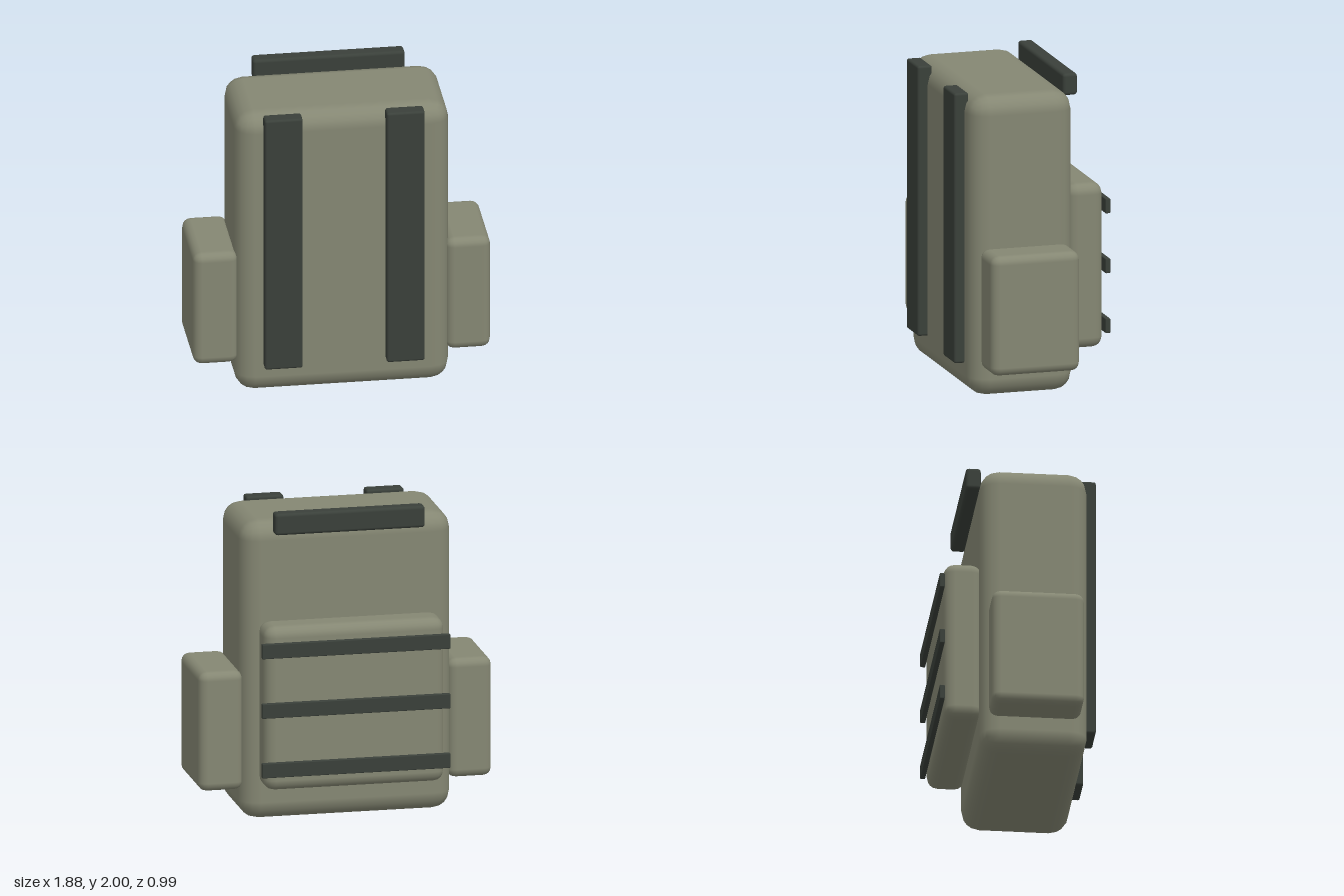
import * as THREE from 'three';
import { RoundedBoxGeometry } from 'three/addons/geometries/RoundedBoxGeometry.js';

const canvas = new THREE.MeshStandardMaterial({ color: 0x85886f });
canvas.name = 'olive canvas';
canvas.color.set(0x858773);
const webbing = new THREE.MeshStandardMaterial({ color: 0x3a403a });
webbing.name = 'dark webbing';

// Rounded box spanning [min, max] on each axis
function block(name, material, [x0, x1], [y0, y1], [z0, z1], radius) {
  const geometry = new RoundedBoxGeometry(x1 - x0, y1 - y0, z1 - z0, 2, radius);
  const mesh = new THREE.Mesh(geometry, material);
  mesh.name = name;
  mesh.position.set((x0 + x1) / 2, (y0 + y1) / 2, (z0 + z1) / 2);
  return mesh;
}

export function createModel() {
  const pack = new THREE.Group();
  pack.name = 'backpack';

  // Main bag and the large pocket on its back
  pack.add(block('mainBag', canvas, [-0.675, 0.675], [0, 1.93], [-0.245, 0.43], 0.12));
  pack.add(block('backPocket', canvas, [-0.577, 0.577], [0.245, 1.305], [-0.465, -0.225], 0.07));

  // Mirrored side pockets and shoulder straps
  for (const side of [1, -1]) {
    const span = (a, b) => [side * a, side * b].sort((p, q) => p - q);
    const label = side > 0 ? 'left' : 'right';
    pack.add(block(label + 'SidePocket', canvas, span(0.655, 0.938), [0.195, 0.965], [-0.2, 0.38], 0.055));
    pack.add(block(label + 'ShoulderStrap', webbing, span(0.265, 0.505), [0.195, 1.93], [0.4, 0.495], 0.015));
  }

  // Carry handle at the top
  pack.add(block('carryHandle', webbing, [-0.48, 0.48], [1.86, 2], [-0.32, -0.225], 0.02));

  // Horizontal webbing rows across the back pocket
  for (const y of [0.392, 0.777, 1.162]) {
    pack.add(block('webbingRow', webbing, [-0.602, 0.602], [y - 0.047, y + 0.047], [-0.497, -0.465], 0.005));
  }
  return pack;
}
